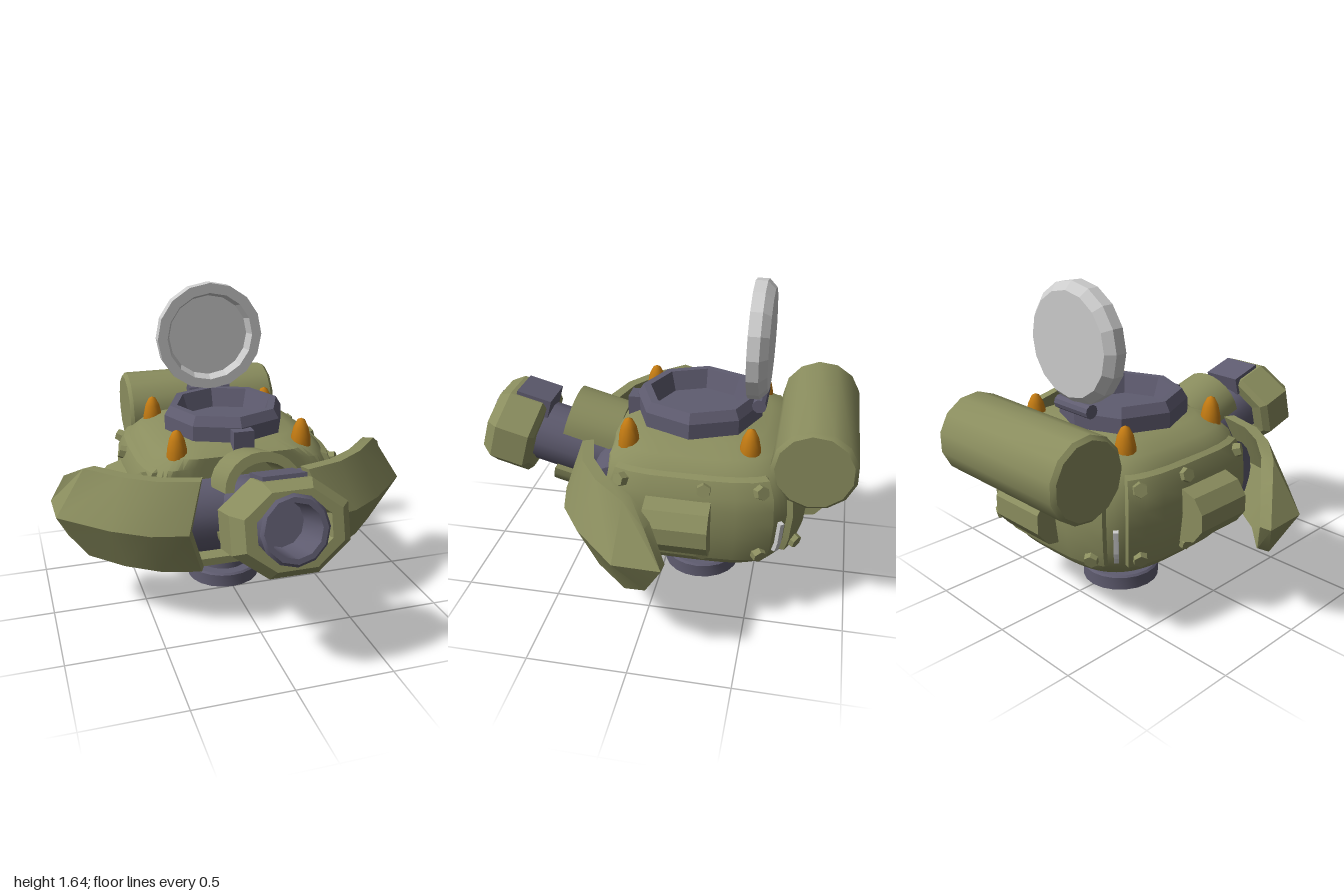
import * as THREE from 'three';
import { toCreasedNormals } from 'three/addons/utils/BufferGeometryUtils.js';

const mat = (color, flatShading = false) =>
  new THREE.MeshStandardMaterial({ color, flatShading, side: THREE.DoubleSide });
const green = mat(0x8a8d5e), greenFlat = mat(0x8a8d5e, true);
const dark = mat(0x5f5c70), darkFlat = mat(0x5f5c70, true);
const grey = mat(0xcccccc, true), amber = mat(0xc27a12);
const V = (x, y, z) => new THREE.Vector3(x, y, z);
const crease = (g, angle = 0.6) => toCreasedNormals(g, angle);

function add(parent, name, geo, material, x = 0, y = 0, z = 0) {
  const m = new THREE.Mesh(geo, material);
  m.name = name;
  m.position.set(x, y, z);
  parent.add(m);
  return m;
}

const lathe = (pts, sides, phi = 0) =>
  new THREE.LatheGeometry(pts.map(p => new THREE.Vector2(...p)), sides, phi);

// Surface through a grid of points: rows[i][j]
function grid(rows, angle) {
  const pos = [], idx = [], n = rows[0].length;
  rows.forEach(r => r.forEach(p => pos.push(p.x, p.y, p.z)));
  for (let i = 0; i < rows.length - 1; i++)
    for (let j = 0; j < n - 1; j++) {
      const a = i * n + j, b = a + n;
      idx.push(a, b, b + 1, a, b + 1, a + 1);
    }
  const g = new THREE.BufferGeometry();
  g.setAttribute('position', new THREE.Float32BufferAttribute(pos, 3));
  g.setIndex(idx);
  return crease(g, angle);
}

// Hull: rounded square in plan, scaled by height, with a flat front
const levels = [[0.2, 0], [0.205, 0.45], [0.23, 0.62], [0.3, 0.84], [0.36, 0.92], [0.45, 0.97],
  [0.6, 1], [0.74, 0.98], [0.83, 0.9], [0.88, 0.8], [0.92, 0.62], [0.93, 0]];
const CZ = -0.2;

function hullScale(y) {
  const i = Math.max(1, levels.findIndex(l => l[0] >= y));
  const [y0, s0] = levels[i - 1], [y1, s1] = levels[i];
  return s0 + (s1 - s0) * (y - y0) / (y1 - y0);
}
function hullPoint(deg, y, s) {
  const a = deg * Math.PI / 180, e = 2 / 3.5;
  const pw = v => Math.sign(v) * Math.abs(v) ** e;
  return V(0.54 * s * pw(Math.cos(a)), y, Math.min(0.22, CZ + 0.55 * s * pw(Math.sin(a))));
}

// Raised plate that follows the hull, with sloped borders
function plate(a0, a1, y0, y1, lift) {
  const ts = [0, 0.04, 0.2, 0.35, 0.5, 0.65, 0.8, 0.96, 1];
  const edge = t => t === 0 || t === 1;
  return grid(ts.map(v => ts.map(u => {
    const y = y0 + (y1 - y0) * v;
    const off = edge(u) || edge(v) ? -0.01 : lift;
    return hullPoint(a0 + (a1 - a0) * u, y, hullScale(y) + off / 0.54);
  })), 0.5);
}

function buildHull(root) {
  const angles = Array.from({ length: 73 }, (_, i) => i * 5);
  add(root, 'hull', grid(levels.map(([y, s]) => angles.map(a => hullPoint(a, y, s))), 0.7), green);
  add(root, 'rearPlate', plate(-130, -50, 0.36, 0.82, 0.025), green);
  add(root, 'frontLip', new THREE.BoxGeometry(0.56, 0.04, 0.12), green, 0, 0.35, 0.26);

  const bolt = new THREE.CylinderGeometry(0.034, 0.04, 0.05, 6).rotateX(Math.PI / 2);
  for (const side of [1, -1]) {
    const flip = a => side > 0 ? a : 180 - a;
    const span = (a, b) => side > 0 ? [a, b] : [180 - b, 180 - a];
    add(root, 'sidePlate', plate(...span(-38, 35), 0.35, 0.83, 0.025), green);
    add(root, 'cornerStrip', plate(...span(-46, -42), 0.39, 0.58, 0.02), grey);
    for (const a of [-27, -2, 24, -62])
      for (const y of [0.42, 0.77]) {
        const p = hullPoint(flip(a), y, hullScale(y) + 0.05);
        add(root, 'bolt', bolt, greenFlat, p.x, p.y, p.z)
          .lookAt(p.x * 2, 2 * p.y - 0.59, 2 * p.z - CZ);
      }
    // Side canister and amber lamps
    add(root, 'sideCanister', crease(new THREE.CylinderGeometry(0.14, 0.14, 0.32, 10).rotateX(Math.PI / 2)),
      greenFlat, side * 0.55, 0.575, -0.16);
    for (const z of [0.13, -0.475])
      add(root, 'lamp', lathe([[0.05, 0.8], [0.055, 0.85], [0.052, 0.91], [0.04, 0.965], [0.02, 1.005], [0, 1.015]], 12),
        amber, side * 0.335, 0, z);
  }
  add(root, 'rearCanister', new THREE.CylinderGeometry(0.14, 0.14, 0.32, 9).rotateZ(Math.PI / 2),
    greenFlat, 0, 0.58, -0.74);

  // Bedroll with bevelled ends
  const roll = lathe([[0, -0.44], [0.19, -0.44], [0.21, -0.42], [0.21, 0.42], [0.19, 0.44], [0, 0.44]], 13);
  add(root, 'bedroll', crease(roll.rotateZ(Math.PI / 2)), green, 0, 0.865, -0.79);

  // Pedestal, hollow underneath
  add(root, 'pedestal', crease(lathe([[0, 0.05], [0.165, 0.05], [0.18, 0], [0.205, 0], [0.205, 0.07], [0.195, 0.08],
    [0.14, 0.08], [0.14, 0.26]], 20)), dark, 0, 0, CZ);
}

function buildHatch(root) {
  add(root, 'hatchRing', lathe([[0.33, 0.84], [0.33, 1], [0.3, 1.05], [0.26, 1.05], [0.225, 0.95], [0, 0.95]], 8),
    darkFlat, 0, 0, -0.17);
  add(root, 'ringTab', new THREE.BoxGeometry(0.11, 0.15, 0.1), darkFlat, 0, 0.92, 0.15);
  const lid = lathe([[0, -0.05], [0.26, -0.05], [0.3, -0.01], [0.3, 0.05], [0.245, 0.05], [0.225, 0], [0, 0]], 16);
  add(root, 'hatchLid', lid.rotateX(Math.PI / 2), grey, 0, 1.345, -0.48);
  add(root, 'hinge', crease(new THREE.CylinderGeometry(0.036, 0.036, 0.24, 10).rotateZ(Math.PI / 2)),
    dark, 0, 1.03, -0.49);
}

// Arched cover over the barrel, in the barrel's own frame
function arch(base, ry, flip) {
  const s = new THREE.Shape();
  s.absellipse(0, base, 0.195, ry, 0, Math.PI, false);
  s.absellipse(0, base, 0.15, ry - 0.05, Math.PI, 0, true);
  s.closePath();
  const g = new THREE.ExtrudeGeometry(s, { depth: 0.275, bevelEnabled: false, curveSegments: 6 });
  g.rotateX(-Math.PI / 2).translate(0, 0.125, 0);
  return crease(flip ? g.rotateY(Math.PI) : g);
}

function buildGun(root) {
  add(root, 'mantlet', crease(new THREE.CylinderGeometry(0.21, 0.21, 0.84, 20).rotateZ(Math.PI / 2)),
    dark, 0, 0.57, 0.165);
  const gun = new THREE.Group();
  gun.name = 'gun';
  gun.position.set(0, 0.583, 0.17);
  gun.rotation.x = THREE.MathUtils.degToRad(75);
  root.add(gun);
  add(gun, 'barrel', crease(lathe([[0.165, 0], [0.165, 0.8], [0.15, 0.815], [0.125, 0.815], [0.115, 0.6], [0, 0.6]], 12)), dark);
  const muzzle = lathe([[0.15, 0.54], [0.205, 0.535], [0.233, 0.56], [0.233, 0.74], [0.19, 0.8], [0.145, 0.8],
    [0.135, 0.74]], 8, Math.PI / 8);
  add(gun, 'muzzle', muzzle.scale(1.3, 1, 1), greenFlat);
  add(gun, 'muzzleBlock', new THREE.BoxGeometry(0.21, 0.19, 0.1), darkFlat, 0, 0.615, -0.185);
  add(gun, 'topCover', arch(0.13, 0.18, false), green);
  add(gun, 'bottomCover', arch(0.09, 0.14, true), green);
}

// Ridged shields that sweep back on both sides of the gun
function buildShields(root) {
  // Per column: ridge x, ridge z, edge x, edge z, edge half height
  const cols = [[0.96, -0.16, 0.89, -0.07, 0.17], [0.955, 0.07, 0.8, 0.05, 0.245], [0.72, 0.3, 0.64, 0.22, 0.245],
    [0.54, 0.42, 0.48, 0.33, 0.245], [0.36, 0.465, 0.28, 0.39, 0.245]];
  const inward = p => p.clone().add(V(-p.x, 0, -0.25 - p.z).setLength(0.06));
  const sections = cols.map(([rx, rz, ex, ez, h]) => {
    const outer = [V(ex, 0.585 - h, ez), V(rx, 0.585, rz), V(ex, 0.585 + h, ez)];
    const inner = outer.map(inward).reverse();
    return [...outer, ...inner, outer[0]];
  });
  // End caps fold each outer point onto its inner partner
  const cap = s => [s[5], s[4], s[3], s[3], s[4], s[5], s[5]];
  const all = [cap(sections[0]), ...sections, cap(sections[4])];
  const geo = grid(all[0].map((_, i) => all.map(s => s[i])), 0.55);
  for (const side of [1, -1]) add(root, 'shield', geo, green).scale.x = side;
}

export function createModel() {
  const root = new THREE.Group();
  root.name = 'turret';
  buildHull(root);
  buildHatch(root);
  buildGun(root);
  buildShields(root);
  return root;
}
